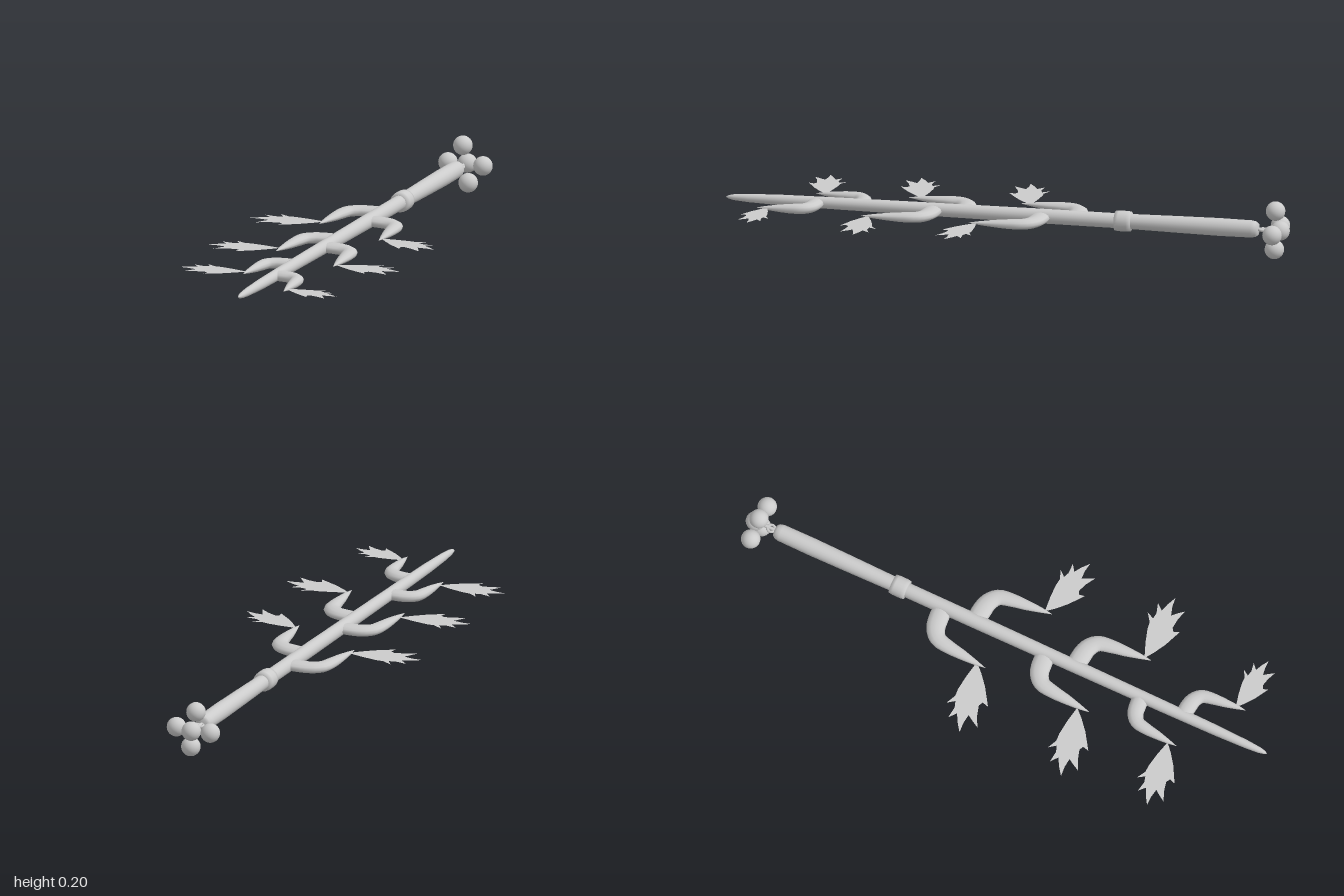
import * as THREE from 'three';

const AXIS_X = 0.003, AXIS_Y = 0.1;
const material = new THREE.MeshStandardMaterial({ color: 0xcccccc });
const leafMaterial = new THREE.MeshStandardMaterial({ color: 0xcccccc, side: THREE.DoubleSide });

function addMesh(parent, name, geometry, x = AXIS_X, y = AXIS_Y, z = 0, mat = material) {
  const mesh = new THREE.Mesh(geometry, mat);
  mesh.name = name;
  mesh.position.set(x, y, z);
  parent.add(mesh);
  return mesh;
}

// Turned part along z, from [z, radius] pairs
function turned(profile) {
  return new THREE.LatheGeometry(profile.map(([z, r]) => new THREE.Vector2(r, z)), 20).rotateX(Math.PI / 2);
}

// Bent, flattened, tapering branch lying in the ground plane
function branchGeometry(side, reach, drop, girth) {
  // outward, along the shaft (fractions), half width, half height
  const stations = [
    [0, -0.01, 0.034, 0.018], [0.32, 0, 0.035, 0.018], [0.6, 0.035, 0.033, 0.018],
    [0.82, 0.14, 0.029, 0.018], [0.9, 0.34, 0.025, 0.017], [0.94, 0.58, 0.019, 0.013],
    [0.98, 0.82, 0.01, 0.007], [1, 1, 0.0005, 0.0005],
  ];
  const curve = new THREE.CatmullRomCurve3(
    stations.map(([u, v]) => new THREE.Vector3(side * u * reach, 0, v * drop)));
  const sizes = new THREE.CatmullRomCurve3(
    stations.map(([, , w, h]) => new THREE.Vector3(w * girth, h, 0)));
  const steps = 21, ring = 12, positions = [], index = [];
  const up = new THREE.Vector3(0, 1, 0);
  for (let i = 0; i <= steps; i++) {
    const t = i / steps, c = curve.getPoint(t), s = sizes.getPoint(t);
    const n = new THREE.Vector3().crossVectors(up, curve.getTangent(t));
    for (let j = 0; j < ring; j++) {
      const a = j / ring * Math.PI * 2;
      const p = c.clone().addScaledVector(n, Math.cos(a) * s.x).addScaledVector(up, Math.sin(a) * s.y);
      positions.push(p.x, p.y, p.z);
      if (i < steps) {
        const k = i * ring + j, m = i * ring + (j + 1) % ring;
        index.push(k, m, k + ring, m, m + ring, k + ring);
      }
    }
  }
  const geometry = new THREE.BufferGeometry();
  geometry.setAttribute('position', new THREE.Float32BufferAttribute(positions, 3));
  geometry.setIndex(index);
  geometry.computeVertexNormals();
  return geometry;
}

// Flat ragged leaf, its root at the origin
function leafGeometry(side, length, angle) {
  const outline = [
    [0, 0], [0.22, -0.09], [0.42, -0.155], [0.52, -0.17], [0.64, -0.26], [0.59, -0.15],
    [0.68, -0.14], [0.83, -0.19], [0.75, -0.09], [0.86, -0.06], [1, 0], [0.86, 0.02], [0.74, 0.06],
    [0.8, 0.12], [0.88, 0.21], [0.72, 0.17], [0.58, 0.16], [0.53, 0.2], [0.57, 0.28],
    [0.44, 0.23], [0.31, 0.18], [0.14, 0.09],
  ];
  const c = Math.cos(angle) * length, s = Math.sin(angle) * length;
  const shape = new THREE.Shape(outline.map(([a, b]) => new THREE.Vector2(side * (a * c - b * s), a * s + b * c)));
  return new THREE.ShapeGeometry(shape).rotateX(Math.PI / 2);
}

export function createModel() {
  const model = new THREE.Group();
  model.name = 'branchingStaff';

  // Shaft, collar and handle
  addMesh(model, 'shaft', turned([
    [-0.42, 0], [-0.42, 0.026], [-0.1, 0.0255], [0.3, 0.023], [0.6, 0.021], [0.8, 0.0185],
    [0.92, 0.0145], [0.97, 0.0105], [0.99, 0.006], [1, 0]]));
  addMesh(model, 'collar', turned([
    [-0.44, 0.02], [-0.438, 0.034], [-0.425, 0.036], [-0.395, 0.036], [-0.382, 0.034], [-0.38, 0.02]]));
  addMesh(model, 'handle', turned([
    [-0.89, 0], [-0.889, 0.02], [-0.88, 0.027], [-0.865, 0.03], [-0.75, 0.031], [-0.6, 0.029], [-0.42, 0.026]]));

  // Pommel: a small link and a cluster of five balls
  addMesh(model, 'pommelLink', new THREE.TorusGeometry(0.013, 0.005, 8, 16).rotateX(Math.PI / 2),
    AXIS_X, AXIS_Y, -0.905);
  addMesh(model, 'pommelNeck', turned([[-0.95, 0.006], [-0.885, 0.006]]));
  const balls = [[0.004, 0.1, -0.966], [-0.005, 0.167, -0.948], [0.015, 0.035, -0.948],
    [-0.063, 0.1, -0.952], [0.069, 0.1, -0.952]];
  for (const [x, y, z] of balls) addMesh(model, 'pommelBall', new THREE.SphereGeometry(0.034, 20, 14), x, y, z);

  // Alternating branches, each with a leaf:
  // side, start z, reach, drop, girth, leaf root [x, z], leaf length, leaf angle
  const branches = [
    [-1, -0.24, 0.14, 0.225, 1, [0.13, -0.05], 0.266, 0.22],
    [1, -0.118, 0.138, 0.225, 1, [0.14, 0.08], 0.235, 0.28],
    [-1, 0.155, 0.13, 0.225, 1, [0.13, 0.335], 0.258, 0.23],
    [1, 0.265, 0.134, 0.225, 1, [0.135, 0.465], 0.245, 0],
    [-1, 0.52, 0.111, 0.185, 0.85, [0.109, 0.672], 0.242, 0.15],
    [1, 0.679, 0.111, 0.185, 0.85, [0.109, 0.828], 0.205, 0.14],
  ];
  for (const [side, z, reach, drop, girth, root, length, angle] of branches) {
    const prefix = side > 0 ? 'left' : 'right';
    addMesh(model, prefix + 'Branch', branchGeometry(side, reach, drop, girth), AXIS_X, AXIS_Y, z);
    addMesh(model, prefix + 'Leaf', leafGeometry(side, length, angle), side * root[0], AXIS_Y, root[1], leafMaterial);
  }
  return model;
}
